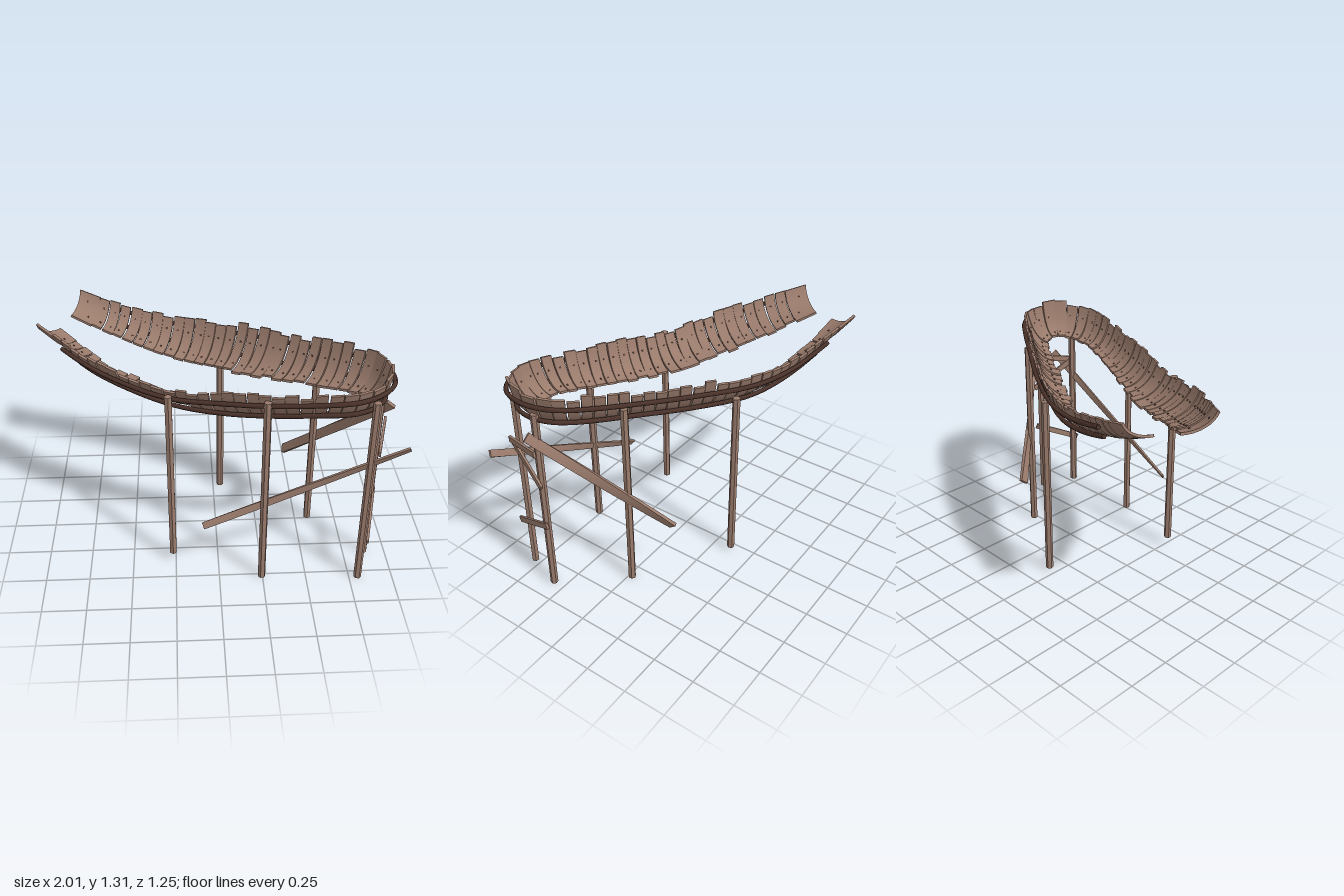
import * as THREE from 'three';

const wood = new THREE.MeshStandardMaterial({ color: 0x9a7b6c });
const darkWood = new THREE.MeshStandardMaterial({ color: 0x4a322a });
const nailMetal = new THREE.MeshStandardMaterial({ color: 0x5c463c });
const V = (x, y, z) => new THREE.Vector3(x, y, z);

// Stations along the trough: outer rim x, y, z, then inner lip x, y, z
const stations = [
  [-0.785, 1.31, -0.625, -0.84, 1.21, -0.46],
  [-0.58, 1.25, -0.57, -0.64, 1.12, -0.415],
  [-0.29, 1.2, -0.505, -0.37, 1.03, -0.33],
  [-0.05, 1.2, -0.42, -0.14, 0.99, -0.25],
  [0.25, 1.23, -0.25, 0.13, 1.0, -0.1],
  [0.51, 1.25, -0.07, 0.39, 1.03, 0.06],
  [0.75, 1.28, 0.1, 0.65, 1.06, 0.22],
  [0.87, 1.3, 0.21, 0.75, 1.08, 0.295],
  [0.91, 1.3, 0.38, 0.79, 1.09, 0.37],
  [0.86, 1.3, 0.53, 0.76, 1.09, 0.43],
  [0.7, 1.28, 0.61, 0.67, 1.08, 0.465],
  [0.51, 1.25, 0.59, 0.53, 1.07, 0.45],
  [0.27, 1.21, 0.52, 0.34, 1.03, 0.385],
  [0, 1.18, 0.43, 0.08, 0.99, 0.275],
  [-0.26, 1.15, 0.33, -0.17, 0.985, 0.14],
  [-0.5, 1.18, 0.22, -0.39, 1.02, 0.02],
  [-0.72, 1.22, 0.07, -0.61, 1.07, -0.11],
  [-1, 1.3, -0.18, -0.89, 1.19, -0.33],
];
const curve = (pick) => new THREE.CatmullRomCurve3(stations.map(pick));
const outer = curve((s) => V(s[0], s[1], s[2]));
const inner = curve((s) => V(s[3], s[4], s[5]));
const middle = curve((s) => V(s[0] + s[3], s[1] + s[4], s[2] + s[5]).multiplyScalar(0.5));
middle.arcLengthDivisions = 600;

let seed = 7;
const rand = (lo, hi) => {
  seed = (seed * 16807) % 2147483647;
  return lo + ((hi - lo) * seed) / 2147483647;
};

// Point on the curved banked shell: u along the run, s from inner lip to outer rim
const MAX = 1.3;
function shell(u, s) {
  const t = middle.getUtoTmapping(THREE.MathUtils.clamp(u, 0, 1));
  const a = inner.getPoint(t), b = outer.getPoint(t);
  const h = Math.sin(s * MAX) / Math.sin(MAX);
  const v = (1 - Math.cos(s * MAX)) / (1 - Math.cos(MAX));
  return V(a.x + (b.x - a.x) * h, a.y + (b.y - a.y) * v, a.z + (b.z - a.z) * h);
}
function shellNormal(u, s) {
  const e = 0.004;
  const along = shell(Math.min(u + e, 1), s).sub(shell(Math.max(u - e, 0), s));
  const across = shell(u, s + 0.02).sub(shell(u, s - 0.02));
  return along.cross(across).normalize();
}

// One bent board, made by wrapping a box onto the shell
function plank(u0, u1, s0, s1, skew, lift) {
  const g = new THREE.BoxGeometry(1, 1, 1, 8, 1, 1);
  const p = g.attributes.position;
  const uMid = (u0 + u1) / 2;
  for (let i = 0; i < p.count; i++) {
    const s = s0 + (s1 - s0) * (p.getX(i) + 0.5);
    const u = u0 + (u1 - u0) * (p.getZ(i) + 0.5) + skew * p.getX(i);
    const q = shell(u, s).addScaledVector(shellNormal(uMid, s), lift + 0.014 * (p.getY(i) + 0.5));
    p.setXYZ(i, q.x, q.y, q.z);
  }
  g.computeVertexNormals();
  return new THREE.Mesh(g, wood);
}

// Straight board from a to b, optionally twisted along its length
function beam(name, a, b, w, d, twist = 0, turn = 0) {
  const g = new THREE.BoxGeometry(w, d, a.distanceTo(b), 1, 1, 8);
  const p = g.attributes.position, len = a.distanceTo(b);
  for (let i = 0; i < p.count; i++) {
    const q = V(p.getX(i), p.getY(i), p.getZ(i));
    q.applyAxisAngle(V(0, 0, 1), turn + (twist * q.z) / len);
    p.setXYZ(i, q.x, q.y, q.z);
  }
  g.computeVertexNormals();
  const m = new THREE.Mesh(g, wood);
  m.name = name;
  m.position.copy(a).lerp(b, 0.5);
  m.lookAt(b);
  return m;
}

export function createModel() {
  const model = new THREE.Group();
  model.name = 'woodenChute';

  // Trough boards with uneven ends, and their nails
  const planks = new THREE.Group();
  planks.name = 'troughPlanks';
  const nails = new THREE.Group();
  nails.name = 'nails';
  const nailShape = new THREE.CylinderGeometry(0.006, 0.006, 0.006, 6);
  const total = middle.getLength();
  const count = 58, endWidth = 0.13 / total;
  const step = (1 - 2 * endWidth) / count;
  for (let i = -1; i <= count; i++) {
    const isEnd = i < 0 || i === count;
    const u0 = i < 0 ? 0 : endWidth + i * step;
    const u1 = u0 + (isEnd ? endWidth : step * rand(0.86, 0.97));
    const s0 = isEnd ? 0 : rand(-0.04, 0.06), s1 = isEnd ? 1 : rand(0.93, 1.04);
    const lift = rand(0, 0.007);
    const board = plank(u0, u1, s0, s1, isEnd ? 0 : rand(-0.1, 0.1) * step, lift);
    board.name = 'plank';
    planks.add(board);
    for (const s of [0.25, 0.72]) {
      const u = u0 + (u1 - u0) * rand(0.3, 0.7);
      const n = shellNormal(u, s);
      const nail = new THREE.Mesh(nailShape, nailMetal);
      nail.name = 'nail';
      nail.position.copy(shell(u, s)).addScaledVector(n, lift + 0.015);
      nail.quaternion.setFromUnitVectors(V(0, 1, 0), n);
      nails.add(nail);
    }
  }
  model.add(planks, nails);

  // Two bent rails carrying the boards on the outside
  for (const [name, s, from, to] of [['upperRail', 0.84, 0.055, 0.95], ['lowerRail', 0.5, 0.065, 0.93]]) {
    const pts = [];
    for (let i = 0; i <= 40; i++) {
      const u = from + ((to - from) * i) / 40;
      pts.push(shell(u, s).addScaledVector(shellNormal(u, s), -0.011));
    }
    const tube = new THREE.TubeGeometry(new THREE.CatmullRomCurve3(pts), 120, 0.013, 6);
    const rail = new THREE.Mesh(tube, darkWood);
    rail.name = name;
    model.add(rail);
    // Rail end caps
    for (const [at, next] of [[0, 1], [40, 39]]) {
      const cap = new THREE.Mesh(new THREE.CircleGeometry(0.013, 6), darkWood);
      cap.name = name + 'End';
      cap.position.copy(pts[at]);
      cap.lookAt(pts[at].clone().multiplyScalar(2).sub(pts[next]));
      model.add(cap);
    }
  }

  // Posts: x, z, bottom, top
  const posts = [
    [-0.265, 0.35, 0.06, 1.13], [0.045, -0.36, 0.02, 1.09], [0.245, 0.515, 0, 1.18],
    [0.58, -0.02, 0, 1.18], [0.8, 0.545, 0, 1.18], [0.875, 0.325, 0, 1.175],
  ];
  posts.forEach(([x, z, y0, y1], i) => {
    const g = new THREE.CylinderGeometry(0.022, 0.022, y1 - y0, 6).toNonIndexed();
    g.computeVertexNormals();
    const post = new THREE.Mesh(g, wood);
    post.name = 'post';
    post.position.set(x, (y0 + y1) / 2, z);
    post.rotation.y = i * 0.35;
    model.add(post);
  });

  // Long twisted diagonal braces and short cross braces between the end posts
  model.add(
    beam('frontBrace', V(-0.09, 0.365, 0.49), V(1.0, 0.9, 0.56), 0.012, 0.04, 1.2),
    beam('sideBrace', V(0.435, 0.39, -0.215), V(0.925, 1.05, 0.35), 0.02, 0.055, 1.2),
    beam('crossBrace', V(0.83, 0.89, 0.585), V(0.91, 0.94, 0.32), 0.014, 0.035),
    beam('crossBrace', V(0.83, 0.89, 0.57), V(0.91, 0.73, 0.3), 0.014, 0.035),
    beam('crossBrace', V(0.82, 0.305, 0.6), V(0.9, 0.455, 0.3), 0.014, 0.035),
  );
  return model;
}
